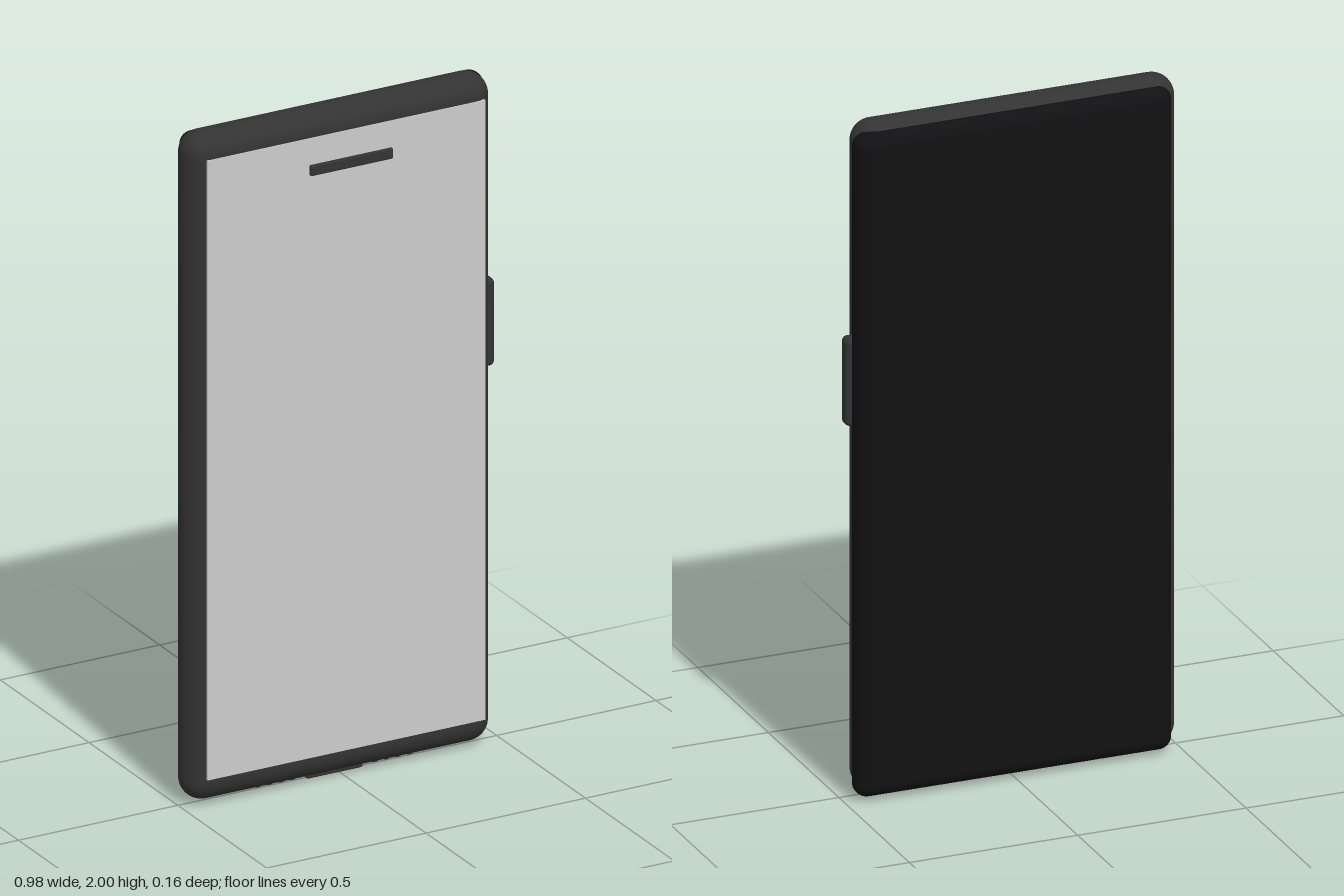
import * as THREE from 'three';
import { RoundedBoxGeometry } from 'three/addons/geometries/RoundedBoxGeometry.js';

const material = (color) => new THREE.MeshStandardMaterial({ color });

export function createModel() {
  const phone = new THREE.Group();
  phone.name = 'phone';
  const dark = material(0x333333);
  const black = material(0x111113);
  const grey = material(0xcccccc);

  // Box from its limits on each axis, with rounded edges when radius > 0
  function addBox(name, [x0, x1], [y0, y1], [z0, z1], radius, mat) {
    const size = [x1 - x0, y1 - y0, z1 - z0];
    const geometry = radius > 0
      ? new RoundedBoxGeometry(...size, 8, radius)
      : new THREE.BoxGeometry(...size);
    const mesh = new THREE.Mesh(geometry, mat);
    mesh.name = name;
    mesh.position.set((x0 + x1) / 2, (y0 + y1) / 2, (z0 + z1) / 2);
    phone.add(mesh);
  }

  // Shell: pill-edged body with an offset back cover
  addBox('body', [-0.492, 0.462], [0.012, 2], [-0.06, 0.066], 0.063, dark);
  addBox('backCover', [-0.467, 0.475], [0.012, 1.98], [-0.081, 0], 0.04, black);

  // Front face
  addBox('screen', [-0.445, 0.426], [0.088, 1.935], [0.05, 0.069], 0, grey);
  addBox('earpiece', [-0.126, 0.133], [1.825, 1.856], [0.066, 0.079], 0.004, dark);

  // Side button
  addBox('sideButton', [0.445, 0.491], [1.108, 1.37], [-0.033, 0.013], 0.016, dark);

  // Bottom edge: charging port and a row of speaker holes on each side
  const middle = -0.015;
  addBox('chargingPort', [middle - 0.088, middle + 0.088], [0, 0.03], [-0.02, 0.016], 0.006, dark);
  for (const side of [-1, 1]) {
    for (let i = 0; i < 4; i++) {
      const hole = new THREE.Mesh(new THREE.CylinderGeometry(0.011, 0.011, 0.02, 16), dark);
      hole.name = 'speakerHole';
      hole.position.set(middle + side * (0.13 + i * 0.036), 0.016, 0);
      phone.add(hole);
    }
  }
  return phone;
}
